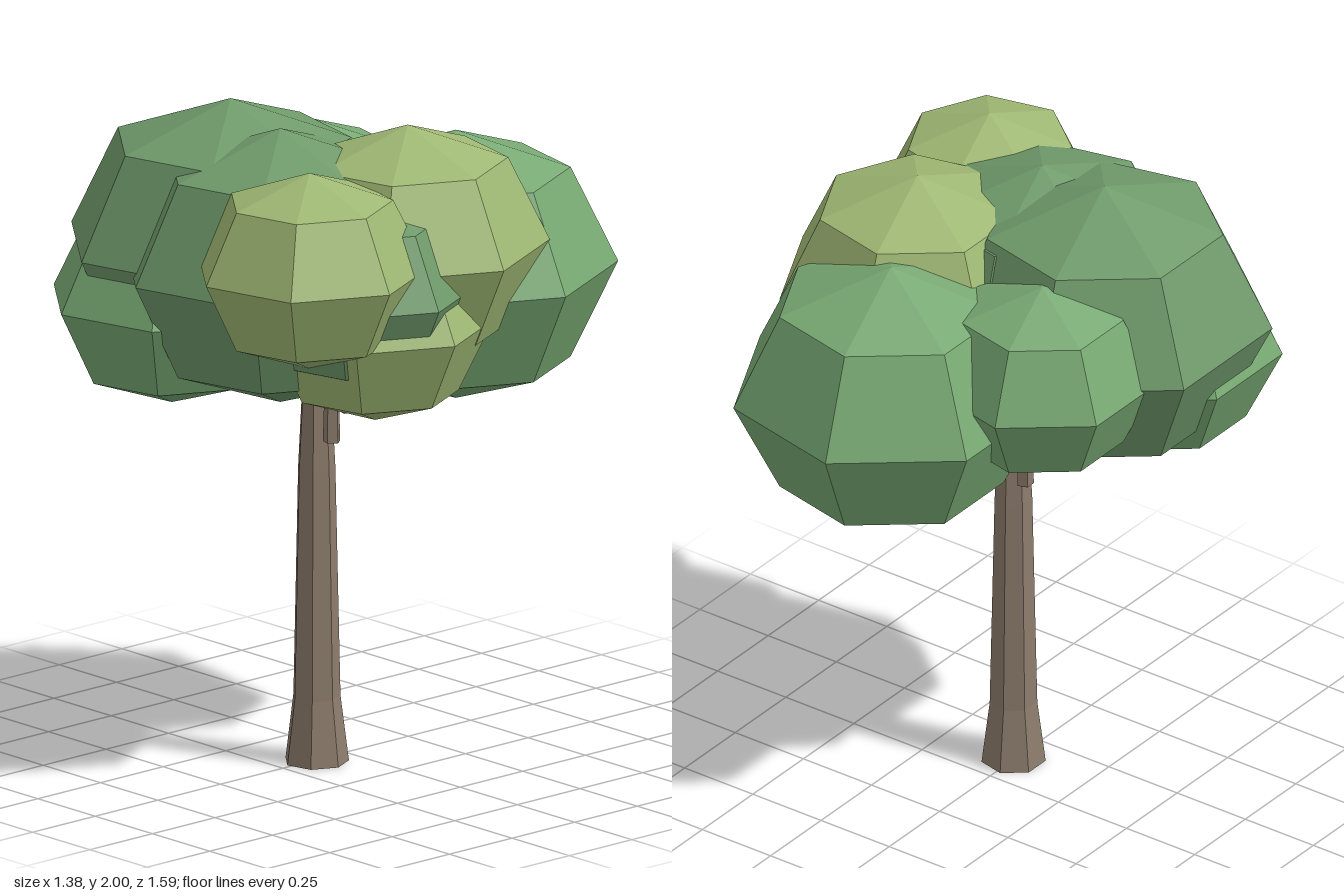
import * as THREE from 'three';

const SIDES = 7;
const SQUASH = 0.857; // crown clumps are slightly flattened

const material = (color) => new THREE.MeshStandardMaterial({ color, flatShading: true });

export function createModel() {
  const tree = new THREE.Group();
  tree.name = 'tree';

  const bark = material(0x8c7c6c);
  const olive = material(0x9fb873);
  const green = material(0x6f9a6b);
  const lightGreen = material(0x78a973);

  const add = (name, geometry, mat, x, y, z) => {
    const mesh = new THREE.Mesh(geometry, mat);
    mesh.name = name;
    mesh.position.set(x, y, z);
    tree.add(mesh);
    return mesh;
  };

  // Trunk: flared base tapering into the crown
  const trunkX = 0.008, trunkZ = 0.125;
  const profile = [[0, 0], [0.097, 0], [0.072, 0.2], [0.057, 0.9], [0.044, 1.15], [0.03, 1.4], [0, 1.4]]
    .map(([r, y]) => new THREE.Vector2(r, y));
  add('trunk', new THREE.LatheGeometry(profile, SIDES, Math.PI / 2), bark, trunkX, 0, trunkZ);

  // Branches: short upright stubs stepping outward on two sides
  const stub = new THREE.CylinderGeometry(0.023, 0.027, 0.14, 5, 1, false, Math.PI / 2);
  const branches = [
    { name: 'leftBranch', start: [0.115, 0.16], step: [0.105, 0.03] },
    { name: 'rightBranch', start: [-0.082, 0.06], step: [-0.09, -0.065] },
  ];
  for (const { name, start, step } of branches) {
    for (let i = 0; i < 3; i++) {
      add(name + (i + 1), stub, bark, start[0] + step[0] * i, 1.08 + 0.12 * i, start[1] + step[1] * i);
    }
  }

  // Crown: overlapping faceted clumps [name, x, y, z, radius, material]
  const clumps = [
    ['frontLeftLeaves', 0.34, 1.64, 0.455, 0.35, olive],
    ['leftLeaves', 0.26, 1.62, -0.01, 0.42, olive],
    ['lowerLeftLeaves', 0.325, 1.425, 0.18, 0.35, olive],
    ['innerLeftLeaves', 0.32, 1.54, 0.24, 0.35, green],
    ['frontLeaves', 0.01, 1.55, 0.27, 0.49, green],
    ['frontRightLeaves', -0.24, 1.57, 0.24, 0.505, green],
    ['lowerRightLeaves', -0.31, 1.41, 0.41, 0.375, lightGreen],
    ['backRightLeaves', -0.29, 1.56, -0.135, 0.345, lightGreen],
    ['backLeaves', 0.12, 1.46, -0.33, 0.48, lightGreen],
  ];
  for (const [name, x, y, z, r, mat] of clumps) {
    const geometry = new THREE.SphereGeometry(r, SIDES, 4, Math.PI);
    geometry.scale(1, SQUASH, 1);
    add(name, geometry, mat, x, y, z);
  }

  return tree;
}
